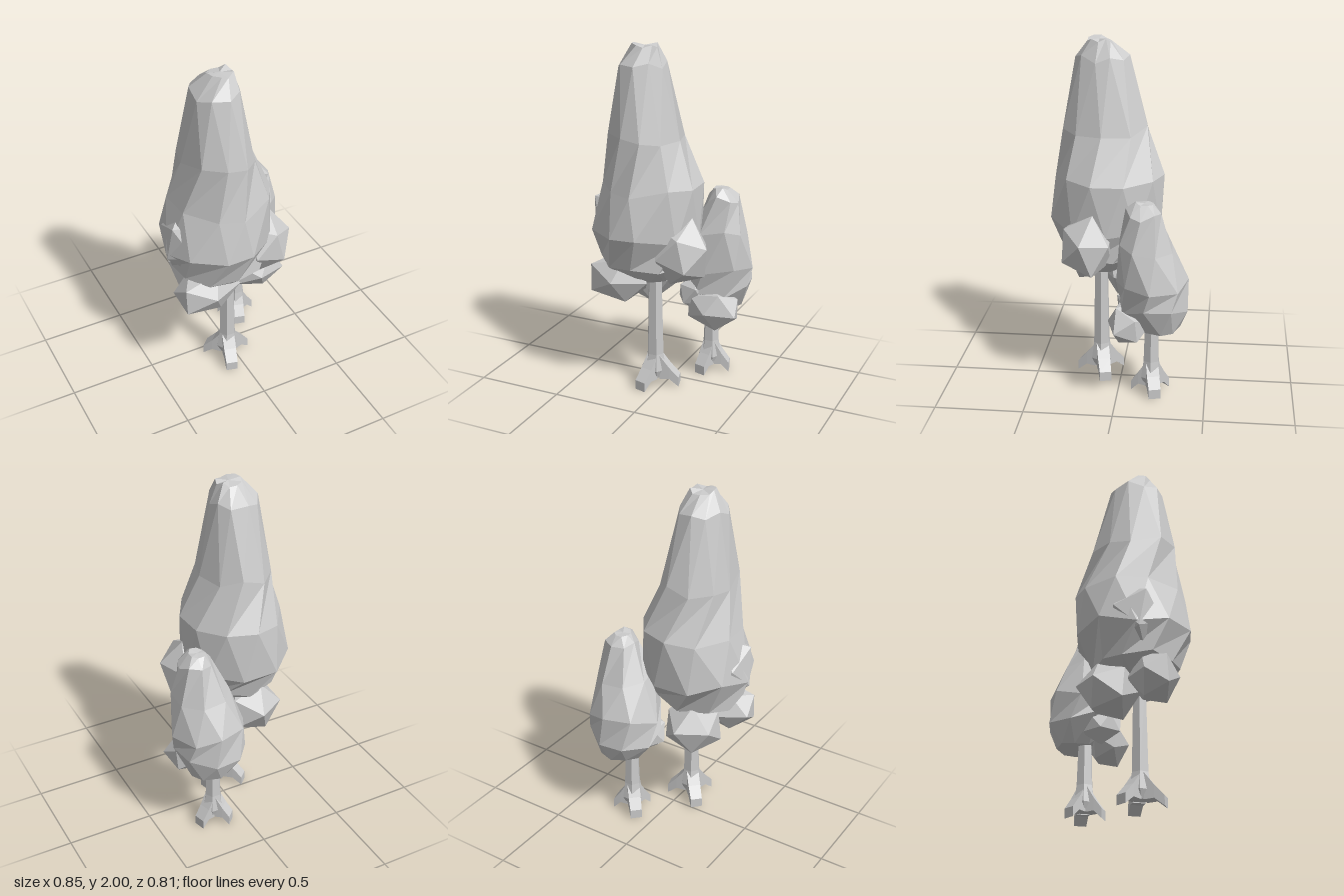
import * as THREE from 'three';

const material = new THREE.MeshStandardMaterial({ color: 0xcccccc, flatShading: true });

// Small seeded random, -1..1
function seeded(seed) {
  let s = seed;
  return () => {
    s = (s * 16807) % 2147483647;
    return (s / 2147483647) * 2 - 1;
  };
}

// Skin a closed surface over rings of [x, y, z] points, with capped ends
function loft(rings) {
  const n = rings[0].length, pos = [], index = [];
  rings.forEach((ring) => ring.forEach((p) => pos.push(...p)));
  for (let i = 0; i < rings.length - 1; i++) {
    for (let k = 0; k < n; k++) {
      const a = i * n + k, b = i * n + ((k + 1) % n);
      index.push(a, a + n, b, b, a + n, b + n);
    }
  }
  [0, rings.length - 1].forEach((r, end) => {
    const c = pos.length / 3;
    for (let j = 0; j < 3; j++) pos.push(rings[r].reduce((sum, p) => sum + p[j], 0) / n);
    for (let k = 0; k < n; k++) {
      const a = r * n + k, b = r * n + ((k + 1) % n);
      if (end) index.push(c, b, a);
      else index.push(c, a, b);
    }
  });
  const geo = new THREE.BufferGeometry();
  geo.setAttribute('position', new THREE.Float32BufferAttribute(pos, 3));
  geo.setIndex(index);
  geo.computeVertexNormals();
  return geo;
}

function part(name, geometry) {
  const mesh = new THREE.Mesh(geometry, material);
  mesh.name = name;
  return mesh;
}

// Tall faceted crown; sections are [y, cx, cz, rx, rz]
function crown(sections, sides, seed) {
  const rnd = seeded(seed);
  return part('crown', loft(sections.map(([y, cx, cz, rx, rz], i) => {
    const wobbleY = i === 0 || i === sections.length - 1 ? 0.012 : 0.03;
    return Array.from({ length: sides }, (_, k) => {
      const a = ((k + (i % 2) * 0.4 + rnd() * 0.12) / sides) * Math.PI * 2;
      const r = 1.03 + rnd() * 0.03;
      return [cx + Math.cos(a) * rx * r, y + rnd() * wobbleY, cz + Math.sin(a) * rz * r];
    });
  })));
}

// Rough leaf clump: an icosahedron with uneven corners
function clump(name, [x, y, z], [rx, ry, rz], turn) {
  const geo = new THREE.IcosahedronGeometry(1, 0);
  const p = geo.attributes.position, v = new THREE.Vector3();
  for (let i = 0; i < p.count; i++) {
    v.fromBufferAttribute(p, i);
    v.multiplyScalar(1.05 + 0.08 * Math.sin(v.x * 7 + v.y * 11 + v.z * 5 + turn * 3));
    p.setXYZ(i, v.x, v.y, v.z);
  }
  geo.rotateY(turn).rotateZ(turn * 0.6);
  geo.scale(rx, ry, rz).translate(x, y, z);
  geo.computeVertexNormals();
  return part(name, geo);
}

// Six-sided trunk flaring into three spreading roots
function trunk(x, z, height, radius, reach) {
  const group = new THREE.Group();
  group.name = 'trunk';
  const profile = [[0.05, 1.0], [0.1, 1.5], [0.2, 1.15], [height, 0.88]];
  group.add(part('stem', loft(profile.map(([y, r]) =>
    Array.from({ length: 6 }, (_, k) => {
      const a = (k / 6) * Math.PI * 2;
      return [Math.cos(a) * radius * r, y, Math.sin(a) * radius * r];
    })))));
  // Root sections: distance out, height, half width, half height
  const path = [[0.2, 0.12, 0.036, 0.075], [0.6, 0.085, 0.036, 0.036], [1, 0.032, 0.034, 0.028]];
  [105, 225, 345].forEach((deg) => {
    const a = THREE.MathUtils.degToRad(deg), c = Math.cos(a), s = Math.sin(a);
    group.add(part('root', loft(path.map(([d, y, w, h]) =>
      Array.from({ length: 4 }, (_, k) => {
        const t = (k + 0.5) * Math.PI / 2;
        const side = Math.cos(t) * w * Math.SQRT2;
        return [c * d * reach - s * side, y + Math.sin(t) * h * Math.SQRT2, s * d * reach + c * side];
      })))));
  });
  group.position.set(x, 0, z);
  return group;
}

export function createModel() {
  const model = new THREE.Group();
  model.name = 'trees';

  // Tall tree
  const tall = new THREE.Group();
  tall.name = 'tallTree';
  tall.add(
    trunk(-0.05, 0.12, 0.75, 0.044, 0.14),
    crown([
      [0.67, -0.06, 0.12, 0.12, 0.11],
      [0.77, -0.095, 0.11, 0.26, 0.235],
      [0.95, -0.115, 0.09, 0.3, 0.315],
      [1.23, -0.08, 0.075, 0.275, 0.3],
      [1.5, -0.105, 0.095, 0.197, 0.237],
      [1.89, -0.12, 0.115, 0.128, 0.145],
      [1.988, -0.1, 0.13, 0.07, 0.065],
    ], 10, 41),
    clump('frontLeftClump', [0.135, 0.87, 0.18], [0.17, 0.18, 0.165], 0.4),
    clump('frontRightClump', [-0.235, 0.67, 0.2], [0.19, 0.135, 0.135], 1.1),
    clump('sideClump', [-0.28, 0.98, 0.1], [0.155, 0.2, 0.17], 0.7),
    clump('backClump', [-0.155, 0.64, -0.035], [0.17, 0.16, 0.17], 2.0),
  );

  // Short tree
  const short = new THREE.Group();
  short.name = 'shortTree';
  short.add(
    trunk(0.17, -0.19, 0.55, 0.042, 0.11),
    crown([
      [0.43, 0.21, -0.24, 0.12, 0.11],
      [0.56, 0.2, -0.205, 0.205, 0.195],
      [0.7, 0.205, -0.19, 0.213, 0.198],
      [0.92, 0.225, -0.155, 0.16, 0.155],
      [1.11, 0.255, -0.145, 0.09, 0.095],
      [1.165, 0.24, -0.15, 0.045, 0.05],
    ], 8, 97),
    clump('lowFrontClump', [0.235, 0.46, -0.07], [0.165, 0.12, 0.125], 0.9),
    clump('innerClump', [0.11, 0.53, -0.1], [0.11, 0.1, 0.115], 1.6),
  );

  model.add(tall, short);
  return model;
}
